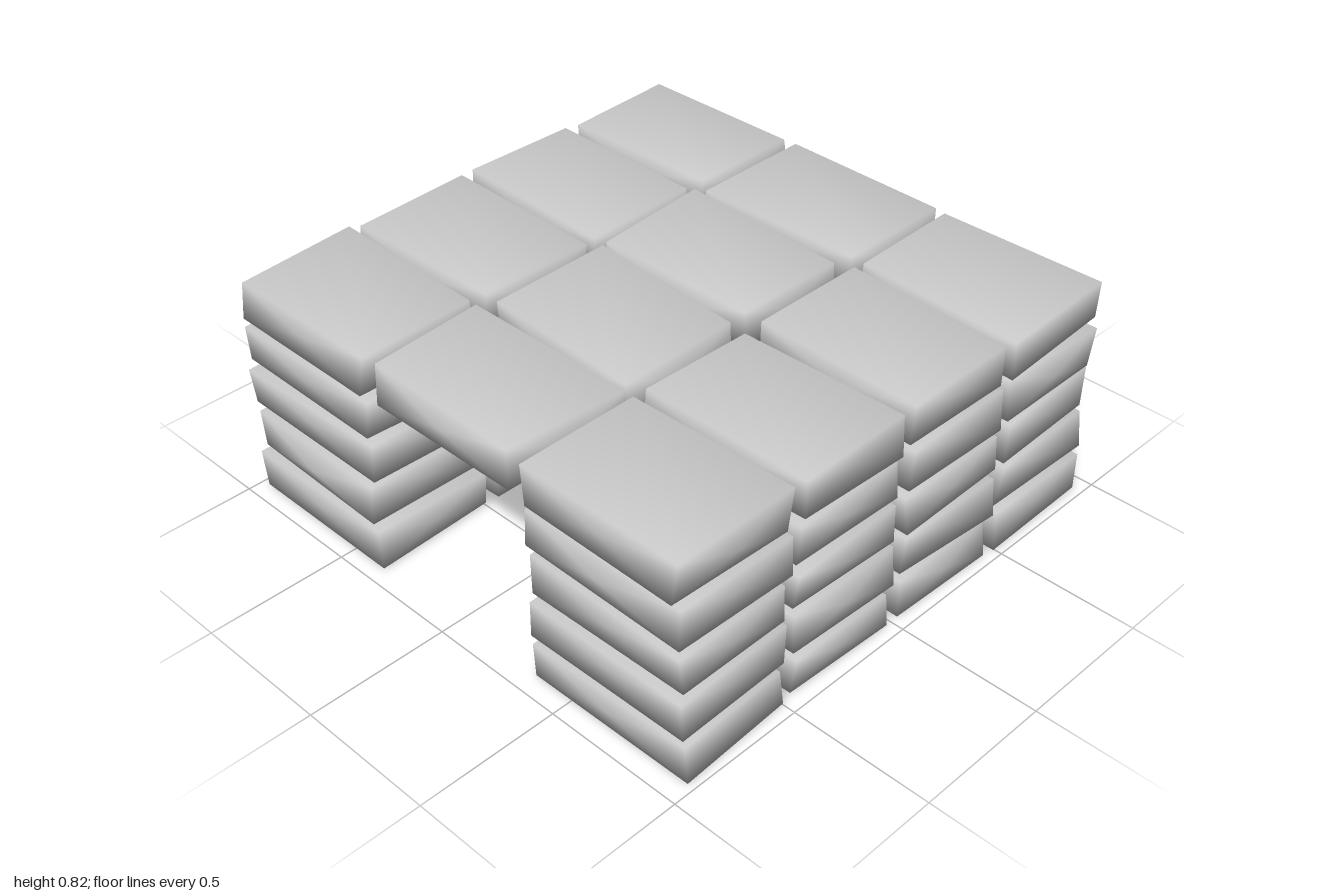
import * as THREE from 'three';

// small seeded generator, returns -1..1
function makeJitter(seed) {
  let s = seed;
  return (amount) => {
    s = (s * 16807) % 2147483647;
    return ((s / 2147483647) * 2 - 1) * amount;
  };
}

const ROWS = [-0.72, -0.24, 0.245, 0.725]; // block centres in z
const LAYERS = [0.08, 0.25, 0.418, 0.584, 0.75]; // block centres in y
const HALF = { x: 0.305, y: 0.07, z: 0.217 };

// plan corners of the roof blocks that span the passage: back left, back right, front right, front left
const SPAN_PLANS = [
  [[-0.31, -0.93], [0.32, -0.92], [0.3, -0.5], [-0.3, -0.48]],
  [[-0.34, -0.46], [0.28, -0.45], [0.28, -0.04], [-0.31, -0.03]],
  [[-0.31, 0.0], [0.3, 0.04], [0.3, 0.49], [-0.3, 0.45]],
  [[-0.33, 0.52], [0.3, 0.5], [0.28, 0.94], [-0.31, 0.93]],
];

// Irregular stone: four plan corners, top and bottom rings, a slightly
// bulging centre on each side; shared vertices give soft shading.
function blockGeometry(plan, y, bulges, jitter) {
  const pos = [];
  for (const sy of [-1, 1]) {
    for (const [x, z] of plan) {
      pos.push(x + jitter(0.012), y + sy * HALF.y + jitter(0.007), z + jitter(0.012));
    }
  }
  const outward = [[0, -1], [1, 0], [0, 1], [-1, 0]];
  const index = [0, 1, 2, 0, 2, 3, 4, 6, 5, 4, 7, 6]; // bottom and top
  for (let i = 0; i < 4; i++) {
    const j = (i + 1) % 4;
    const [ox, oz] = outward[i];
    pos.push(
      (plan[i][0] + plan[j][0]) / 2 + ox * bulges[i],
      y + jitter(0.01),
      (plan[i][1] + plan[j][1]) / 2 + oz * bulges[i]
    );
    const c = 8 + i;
    index.push(i, i + 4, c, i + 4, j + 4, c, j + 4, j, c, j, i, c);
  }
  const geo = new THREE.BufferGeometry();
  geo.setAttribute('position', new THREE.Float32BufferAttribute(pos, 3));
  geo.setIndex(index);
  geo.computeVertexNormals();
  return geo;
}

export function createModel() {
  const model = new THREE.Group();
  model.name = 'stoneShelter';
  const material = new THREE.MeshStandardMaterial({ color: 0xcccccc });
  const jitter = makeJitter(4271);

  const addBlock = (parent, name, plan, y, bulges) => {
    const mesh = new THREE.Mesh(blockGeometry(plan, y, bulges, jitter), material);
    mesh.name = name;
    parent.add(mesh);
  };

  // side walls, stacked in columns of five
  for (const [name, cx] of [['rightWall', -0.665], ['leftWall', 0.655]]) {
    const wall = new THREE.Group();
    wall.name = name;
    ROWS.forEach((cz, r) => LAYERS.forEach((y, l) => {
      const plan = [[-1, -1], [1, -1], [1, 1], [-1, 1]].map(([sx, sz]) => [
        cx + sx * HALF.x + jitter(0.008),
        cz + sz * HALF.z + jitter(0.008),
      ]);
      const bulges = [0, 1, 2, 3].map(() => Math.max(0, jitter(0.022)));
      // the rear stones of the top and middle courses come to a point
      if (r === 0 && (l === 4 || l === 2)) bulges[0] = 0.035;
      addBlock(wall, l === 4 ? 'roofBlock' : 'wallBlock', plan, y, bulges);
    }));
    model.add(wall);
  }

  // roof blocks over the passage
  const span = new THREE.Group();
  span.name = 'passageRoof';
  SPAN_PLANS.forEach((plan, r) => {
    addBlock(span, 'roofBlock', plan, LAYERS[4], [0.005, 0.015, r === 1 ? 0.04 : 0.005, 0.015]);
  });
  model.add(span);

  return model;
}
